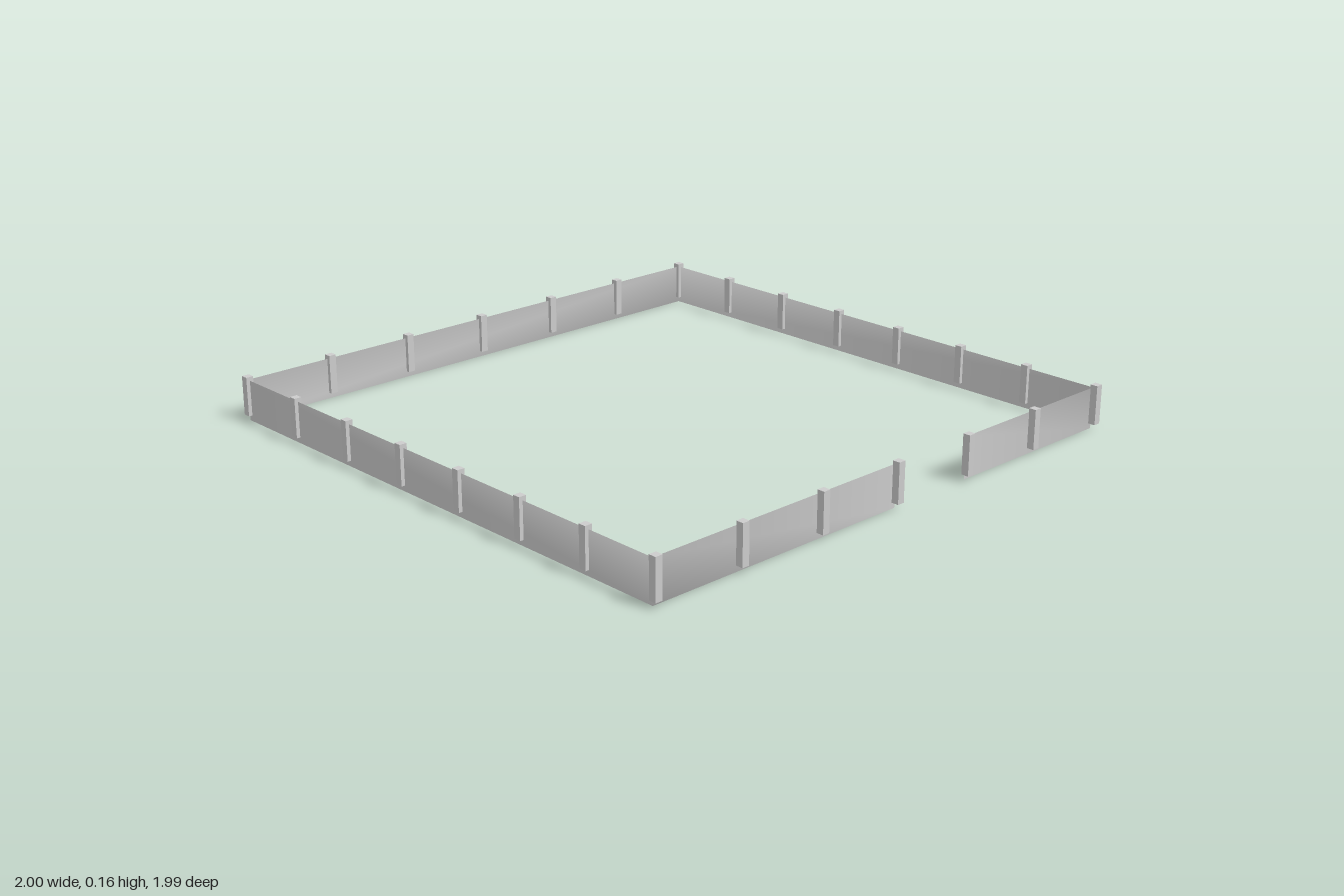
import * as THREE from 'three';

const X = 0.987, Z = 0.983;        // post rows
const COLS = 7, ROWS = 6;          // bays along x and along z
const PANEL_H = 0.142;

export function createModel() {
  const model = new THREE.Group();
  model.name = 'fence';
  const material = new THREE.MeshStandardMaterial({ color: 0xcccccc });
  const panelMaterial = new THREE.MeshStandardMaterial({ color: 0xcccccc, side: THREE.DoubleSide });

  // Thin panel running round the perimeter, open at the gateway on the +x side
  const right = 0.975, gate = 2 * Z / ROWS;
  const path = [
    [right, -gate], [right, -Z], [-X, -Z], [-X, Z], [right, Z], [right, 0],
  ];
  const positions = [], index = [];
  path.forEach(([x, z], i) => {
    positions.push(x, 0, z, x, PANEL_H, z);
    if (i > 0) {
      const a = 2 * (i - 1);
      index.push(a, a + 2, a + 1, a + 1, a + 2, a + 3);
    }
  });
  const panelGeometry = new THREE.BufferGeometry();
  panelGeometry.setAttribute('position', new THREE.Float32BufferAttribute(positions, 3));
  panelGeometry.setIndex(index);
  panelGeometry.computeVertexNormals();
  const panel = new THREE.Mesh(panelGeometry, panelMaterial);
  panel.name = 'fencePanel';
  model.add(panel);

  // Square posts, raised a little off the ground
  const posts = new THREE.Group();
  posts.name = 'posts';
  const postGeometry = new THREE.BoxGeometry(0.026, 0.135, 0.026);
  const addPost = (x, z) => {
    const post = new THREE.Mesh(postGeometry, material);
    post.name = 'post';
    post.position.set(x, 0.0875, z);
    posts.add(post);
  };
  for (const side of [-1, 1]) {
    for (let i = 0; i <= COLS; i++) addPost(-X + (2 * X * i) / COLS, side * Z);
    for (let j = 1; j < ROWS; j++) addPost(side * X, -Z + (2 * Z * j) / ROWS);
  }
  model.add(posts);
  return model;
}
